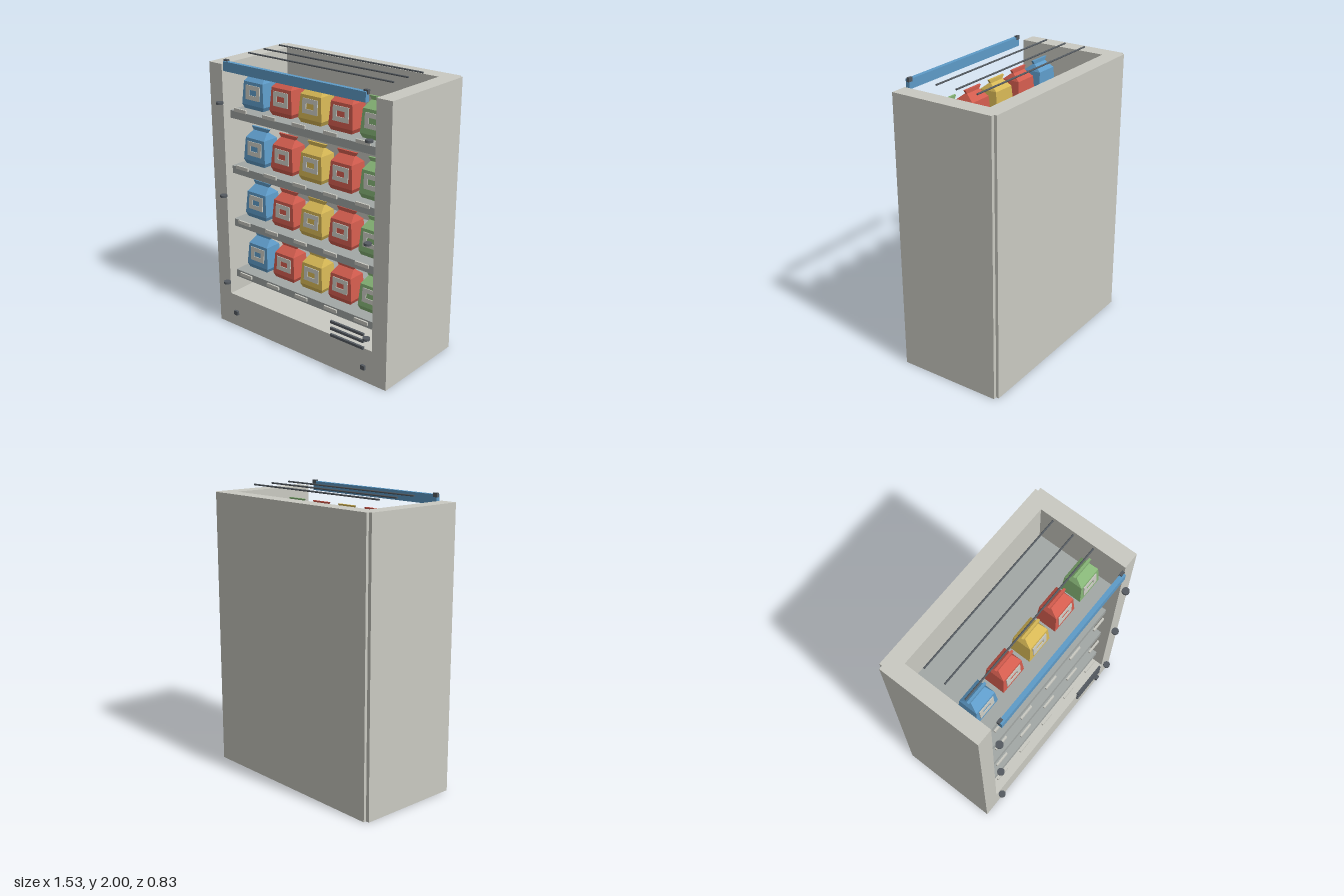
import * as THREE from 'three';

const mat = (name, color) => {
  const m = new THREE.MeshStandardMaterial({ color });
  m.name = name;
  return m;
};

// Faceted loft through rectangular rings [y, halfWidth, halfDepth], capped at both ends
function loft(rings) {
  const corners = rings.map(([y, w, d]) => [[-w, y, d], [w, y, d], [w, y, -d], [-w, y, -d]]);
  const pos = [];
  const quad = (a, b, c, d) => pos.push(...a, ...b, ...c, ...a, ...c, ...d);
  for (let i = 0; i < corners.length - 1; i++) {
    for (let k = 0; k < 4; k++) {
      const n = (k + 1) % 4;
      quad(corners[i][k], corners[i][n], corners[i + 1][n], corners[i + 1][k]);
    }
  }
  const bottom = corners[0], top = corners[corners.length - 1];
  quad(bottom[3], bottom[2], bottom[1], bottom[0]);
  quad(top[0], top[1], top[2], top[3]);
  const g = new THREE.BufferGeometry();
  g.setAttribute('position', new THREE.Float32BufferAttribute(pos, 3));
  g.computeVertexNormals();
  return g;
}

export function createModel() {
  const root = new THREE.Group();
  root.name = 'displayShelf';

  const cabinetMat = mat('warm light grey', 0xcacac2);
  const shelfMat = mat('shelf grey', 0xa3a8a6);
  const darkMat = mat('dark metal', 0x555b61);
  const blue = mat('blue', 0x5e9bc8);
  const red = mat('red', 0xd25c4e);
  const yellow = mat('yellow', 0xd6b755);
  const green = mat('green', 0x86b476);

  const add = (name, geo, material, x = 0, y = 0, z = 0, parent = root) => {
    const m = new THREE.Mesh(geo, material);
    m.name = name;
    m.position.set(x, y, z);
    parent.add(m);
    return m;
  };
  const box = (w, h, d) => new THREE.BoxGeometry(w, h, d);

  // Cabinet: solid plinth, U-shaped walls open at the front and top, back panel
  add('plinth', box(1.53, 0.25, 0.74), cabinetMat, 0, 0.125, -0.025);
  const plan = new THREE.Shape();
  [[-0.765, -0.345], [-0.647, -0.345], [-0.647, 0.3], [0.647, 0.3],
    [0.647, -0.345], [0.765, -0.345], [0.765, 0.395], [-0.765, 0.395]]
    .forEach(([x, y], i) => (i ? plan.lineTo(x, y) : plan.moveTo(x, y)));
  const walls = new THREE.ExtrudeGeometry(plan, { depth: 1.7, bevelEnabled: false });
  walls.rotateX(-Math.PI / 2);
  add('walls', walls, cabinetMat, 0, 0.25, 0);
  add('backPanel', box(1.48, 1.95, 0.02), cabinetMat, 0, 0.975, -0.405);

  // Paper bags and their label frames
  const bagGeo = loft([
    [0, 0.085, 0.065], [0.03, 0.1, 0.075], [0.19, 0.086, 0.065],
    [0.235, 0.064, 0.008], [0.26, 0.082, 0.008],
  ]);
  const label = new THREE.Shape();
  label.moveTo(-0.064, -0.05).lineTo(0.064, -0.05).lineTo(0.064, 0.05).lineTo(-0.064, 0.05);
  const hole = new THREE.Path();
  hole.moveTo(-0.033, -0.019).lineTo(-0.033, 0.019).lineTo(0.033, 0.019).lineTo(0.033, -0.019);
  label.holes.push(hole);
  const labelGeo = new THREE.ExtrudeGeometry(label, { depth: 0.006, bevelEnabled: false });
  const tagGeo = box(0.11, 0.024, 0.012);
  const shelfGeo = box(1.294, 0.055, 0.58);

  // Four stocked shelves
  const bagMats = [blue, red, yellow, red, green];
  for (let row = 0; row < 4; row++) {
    const shelfTop = 0.42 + row * 0.4;
    add('shelf', shelfGeo, shelfMat, 0, shelfTop - 0.0275, -0.01);
    bagMats.forEach((bagMat, i) => {
      const x = (i - 2) * 0.256;
      const bag = new THREE.Group();
      bag.name = 'bag';
      bag.position.set(x, shelfTop + 0.005, 0.125);
      root.add(bag);
      add('bagBody', bagGeo, bagMat, 0, 0, 0, bag);
      add('bagLabel', labelGeo, cabinetMat, 0, 0.118, 0.0695, bag).rotation.x = -0.0624;
      add('priceTag', tagGeo, cabinetMat, (i - 2) * 0.262, 0.412 + row * 0.41, 0.307);
    });
  }

  // Overhead rods
  const rodGeo = new THREE.CylinderGeometry(0.006, 0.006, 1.22, 8);
  rodGeo.rotateZ(Math.PI / 2);
  for (const z of [-0.18, -0.025, 0.127]) add('topRod', rodGeo, darkMat, 0, 1.994, z);

  // Header sign with end clips
  add('headerSign', box(1.19, 0.065, 0.03), blue, 0, 1.951, 0.366);
  for (const s of [-1, 1]) {
    add('signClip', box(0.034, 0.028, 0.02), darkMat, s * 0.585, 1.98, 0.358);

    // Side knobs and plinth studs
    for (const y of [0.36, 1.028, 1.695]) {
      add('sideKnob', new THREE.CylinderGeometry(0.025, 0.025, 0.016, 16), darkMat, s * 0.634, y, 0.39);
    }
    add('plinthStud', box(0.034, 0.032, 0.018), darkMat, s * 0.585, 0.114, 0.358);
  }

  // Vent bars
  for (const y of [0.26, 0.31, 0.36]) {
    add('ventBar', box(0.28, 0.018, 0.016), darkMat, 0.45, y, 0.36);
  }
  return root;
}
